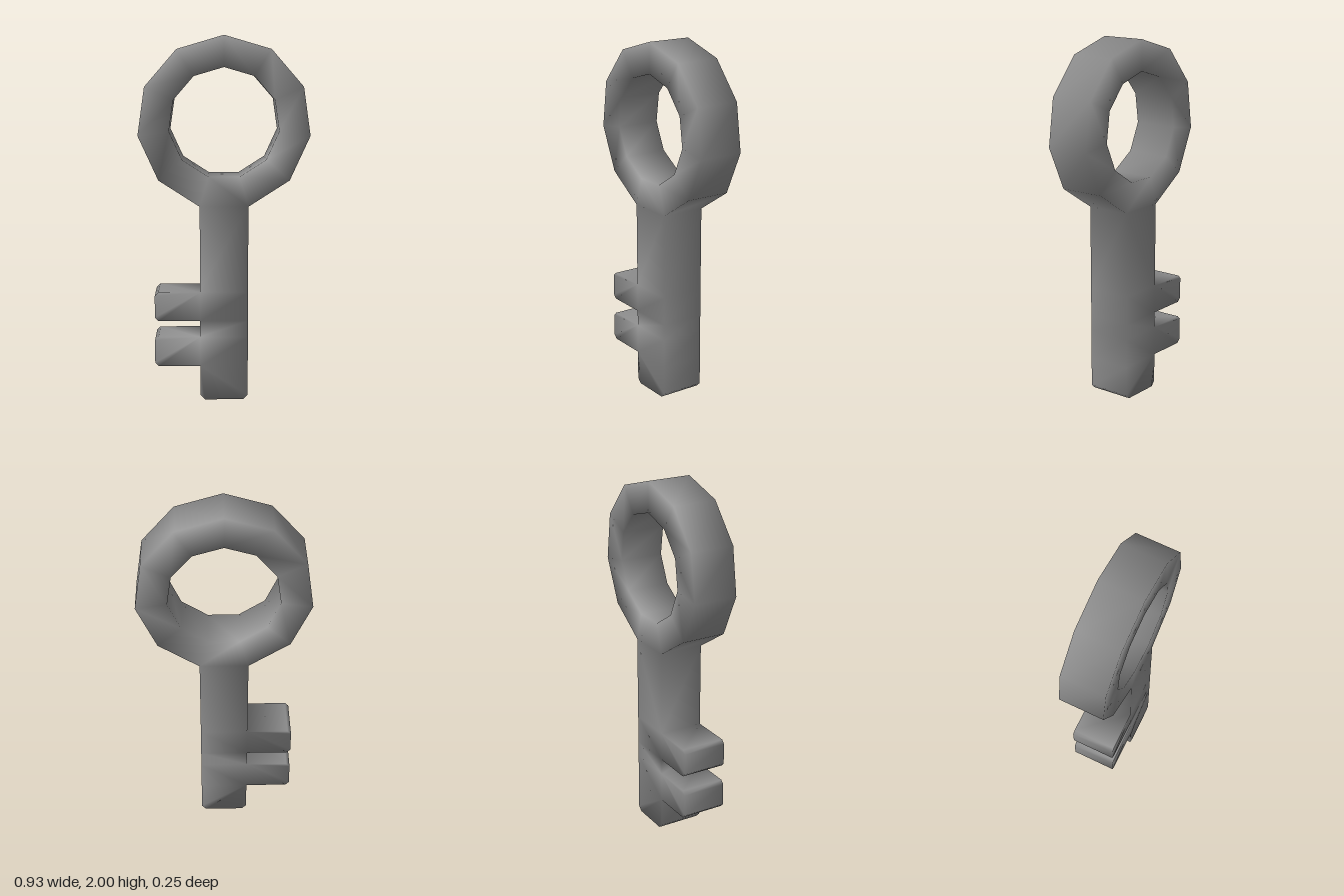
import * as THREE from 'three';

const SIDES = 11, RING_Y = 1.53, OUTER = 0.47, INNER = 0.3;
const HALF_DEPTH = 0.125, SHAFT = 0.131, TOOTH_X = -0.38;
const TEETH = [[0.19, 0.355], [0.445, 0.605]];

// Corner i of an eleven-sided ring, clockwise from the top
function ringPoint(i, radius) {
  const a = ((i % SIDES) / SIDES) * Math.PI * 2;
  return [Math.sin(a) * radius, RING_Y + Math.cos(a) * radius];
}

// Anticlockwise flat cells that together make the key's face
function keyCells() {
  const cells = [];

  // Bow
  for (let i = 0; i < SIDES; i++) {
    cells.push([ringPoint(i, OUTER), ringPoint(i, INNER), ringPoint(i + 1, INNER), ringPoint(i + 1, OUTER)]);
  }

  // Shaft: cut lower end, bands between the tooth roots, and the joint to the bow
  const levels = TEETH.flat(), cut = 0.025;
  const left = (y) => [-SHAFT, y], right = (y) => [SHAFT, y];
  cells.push([left(levels[0]), left(cut), [cut - SHAFT, 0], [SHAFT - cut, 0], right(cut), right(levels[0])]);
  for (let i = 0; i < levels.length - 1; i++) {
    cells.push([left(levels[i]), right(levels[i]), right(levels[i + 1]), left(levels[i + 1])]);
  }
  const top = levels.at(-1);
  cells.push([left(top), right(top), ringPoint(5, OUTER), ringPoint(6, OUTER)]);

  // Teeth with cut tip corners
  const c = 0.02;
  for (const [low, high] of TEETH) {
    cells.push([
      left(high), [TOOTH_X + c, high], [TOOTH_X, high - c],
      [TOOTH_X, low + c], [TOOTH_X + c, low], left(low),
    ]);
  }
  return cells;
}

// Thickens the cells into one solid with shared corners, so shading runs over every edge
function solidFromCells(cells) {
  const positions = [], index = [], ids = new Map(), edges = new Map();

  // Each flat corner becomes a front vertex (even) and a back vertex (odd)
  const vertex = ([x, y]) => {
    const key = `${x.toFixed(4)},${y.toFixed(4)}`;
    if (!ids.has(key)) {
      ids.set(key, positions.length / 3);
      positions.push(x, y, HALF_DEPTH, x, y, -HALF_DEPTH);
    }
    return ids.get(key);
  };

  // Front and back faces
  for (const cell of cells) {
    const v = cell.map(vertex);
    for (let i = 1; i < v.length - 1; i++) {
      index.push(v[0], v[i], v[i + 1], v[0] + 1, v[i + 1] + 1, v[i] + 1);
    }
    v.forEach((a, i) => {
      const b = v[(i + 1) % v.length];
      edges.set(`${a},${b}`, [a, b]);
    });
  }

  // Walls along edges that no neighbouring cell shares
  for (const [a, b] of edges.values()) {
    if (!edges.has(`${b},${a}`)) index.push(a, a + 1, b + 1, a, b + 1, b);
  }

  const geometry = new THREE.BufferGeometry();
  geometry.setAttribute('position', new THREE.Float32BufferAttribute(positions, 3));
  geometry.setIndex(index);
  geometry.computeVertexNormals();
  return geometry;
}

export function createModel() {
  const group = new THREE.Group();
  group.name = 'key';
  const metal = new THREE.MeshStandardMaterial({ color: 0x8c8c8c });
  metal.name = 'grey metal';

  const body = new THREE.Mesh(solidFromCells(keyCells()), metal);
  body.name = 'bowShaftAndTeeth';
  group.add(body);
  return group;
}
